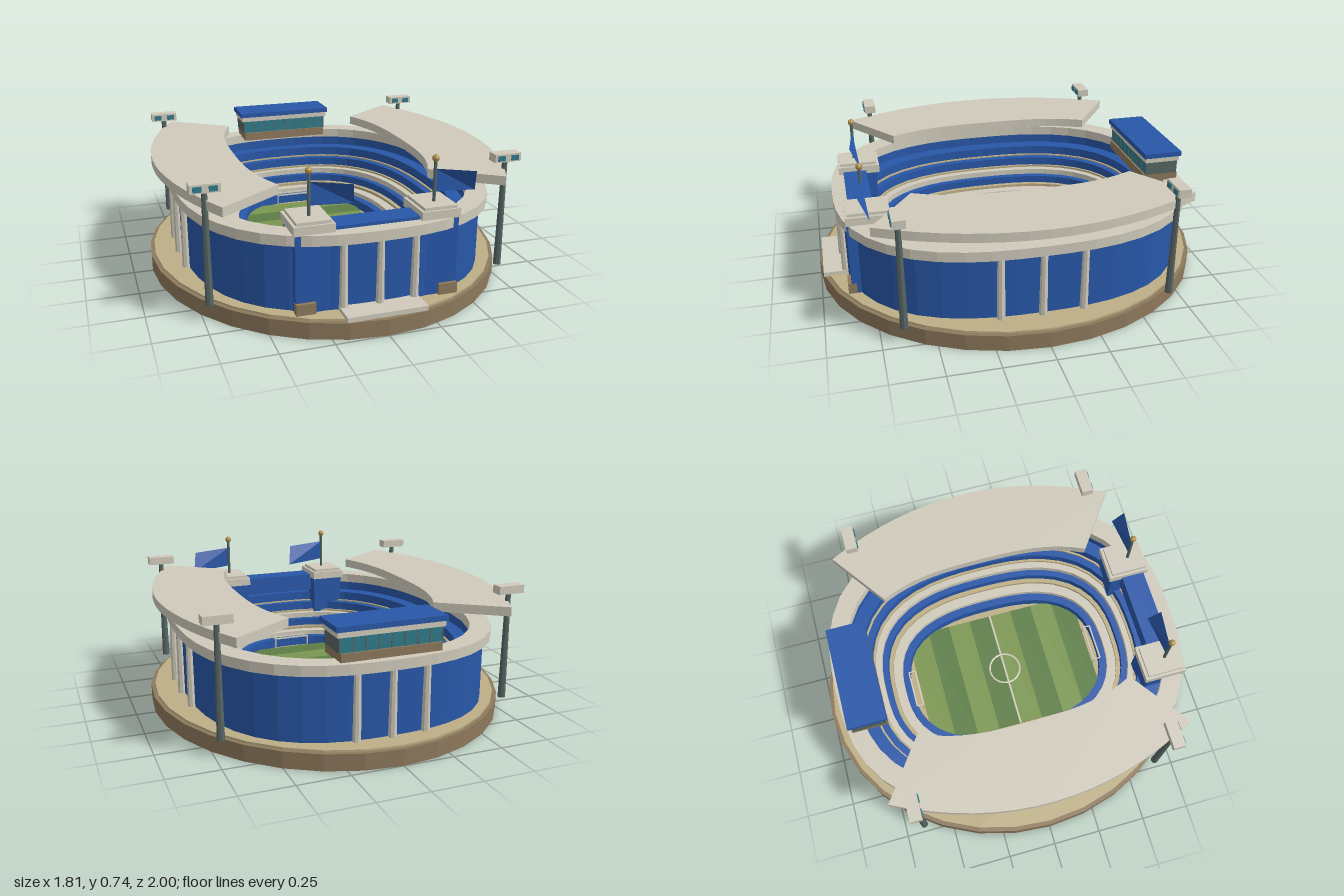
import * as THREE from 'three';

const mat = (color, side = THREE.FrontSide) => new THREE.MeshStandardMaterial({ color, flatShading: true, side });
const BLUE = mat(0x2857a8), GREY = mat(0xcfcabb), BROWN = mat(0x8d785c), TAN = mat(0xbcae86);
const TEAL = mat(0x2f7a8a), SLATE = mat(0x566664), GOLD = mat(0xb0904f);
const LIGHT = mat(0x7a9650), DARK = mat(0x5c7d45), FLAG = mat(0x2857a8, THREE.DoubleSide);

// Rounded oval outline (superellipse)
function oval(rx, rz, n = 2.6, segments = 48) {
  const pts = [];
  for (let i = 0; i < segments; i++) {
    const a = (i / segments) * Math.PI * 2, c = Math.cos(a), s = Math.sin(a);
    const r = Math.pow(Math.pow(Math.abs(c), n) + Math.pow(Math.abs(s), n), -1 / n);
    pts.push(new THREE.Vector2(rx * r * c, rz * r * s));
  }
  return pts;
}

// Upright solid from a ground plan
function slab(points, y0, y1, hole) {
  const shape = new THREE.Shape(points);
  if (hole) shape.holes.push(new THREE.Path(hole));
  const g = new THREE.ExtrudeGeometry(shape, { depth: y1 - y0, bevelEnabled: false });
  return g.rotateX(-Math.PI / 2).translate(0, y0, 0);
}

// Half width of the bowl for a given half length
const bowlX = z => 0.37 + (z - 0.53) / 0.375 * 0.415;

export function createModel() {
  const root = new THREE.Group();
  const add = (name, geometry, material, parent = root) => {
    const m = new THREE.Mesh(geometry, material);
    m.name = name;
    parent.add(m);
    return m;
  };
  const box = (name, material, x0, x1, y0, y1, z0, z1, parent) =>
    add(name, new THREE.BoxGeometry(x1 - x0, y1 - y0, z1 - z0)
      .translate((x0 + x1) / 2, (y0 + y1) / 2, (z0 + z1) / 2), material, parent);
  const rod = (name, material, x, z, y0, y1, rBottom, rTop, sides, parent) =>
    add(name, new THREE.CylinderGeometry(rTop, rBottom, y1 - y0, sides)
      .translate(x, (y0 + y1) / 2, z), material, parent);
  const group = name => {
    const g = new THREE.Group();
    g.name = name;
    root.add(g);
    return g;
  };

  // Ground plinth
  add('plinth', slab(oval(0.905, 1, 2, 32), 0, 0.08), BROWN);
  add('plaza', slab(oval(0.885, 0.98, 2, 32), 0.08, 0.09), TAN);
  box('frontSteps', GREY, -0.19, 0.19, 0.085, 0.108, 0.86, 0.985);

  // Pitch with mown stripes and markings
  const pitch = group('pitch');
  for (let i = 0; i < 8; i++) {
    const z = -0.488 + i * 0.122;
    box('pitchStripe', i % 2 ? DARK : LIGHT, -0.33, 0.33, 0.085, 0.1, z, z + 0.122, pitch);
  }
  box('halfwayLine', GREY, -0.33, 0.33, 0.098, 0.103, -0.005, 0.005, pitch);
  add('centreCircle', new THREE.TorusGeometry(0.085, 0.005, 4, 20)
    .rotateX(Math.PI / 2).scale(1, 0.5, 1).translate(0, 0.101, 0), GREY, pitch);

  // Goals
  for (const s of [-1, 1]) {
    const goal = group('goal');
    for (const x of [-0.1, 0.1]) {
      rod('goalPost', GREY, x, s * 0.492, 0.09, 0.155, 0.004, 0.004, 6, goal);
      box('goalSide', GREY, x - 0.003, x + 0.003, 0.15, 0.156, s * 0.51 - 0.018, s * 0.51 + 0.018, goal);
    }
    for (const z of [0.492, 0.528])
      box('crossbar', GREY, -0.1, 0.1, 0.15, 0.157, s * z - 0.004, s * z + 0.004, goal);
  }

  // Stepped seating bowl: inner and outer half length, top height
  const stands = group('stands');
  [
    ['seatRow', BLUE, 0.53, 0.568, 0.14],
    ['walkway', GREY, 0.568, 0.615, 0.165],
    ['step', TAN, 0.615, 0.637, 0.18],
    ['seatRow', BLUE, 0.637, 0.668, 0.22],
    ['walkway', GREY, 0.668, 0.7, 0.25],
    ['step', TAN, 0.7, 0.712, 0.26],
    ['seatRow', BLUE, 0.712, 0.745, 0.305],
    ['step', TAN, 0.745, 0.755, 0.312],
    ['seatRow', BLUE, 0.755, 0.82, 0.36],
  ].forEach(([name, material, z0, z1, top]) =>
    add(name, slab(oval(bowlX(z1), z1), 0.085, top, oval(bowlX(z0), z0)), material, stands));

  // Outer wall and rim
  add('outerWall', slab(oval(0.752, 0.872), 0.09, 0.41, oval(bowlX(0.82), 0.82)), BLUE);
  add('rim', slab(oval(0.785, 0.905), 0.41, 0.46, oval(bowlX(0.815), 0.815)), GREY);

  // Columns on all four sides
  for (const s of [-1, 1]) for (const i of [-1, 0, 1]) {
    rod('endColumn', GREY, i * 0.17, s * (0.88 - Math.abs(i) * 0.008), 0.09, 0.415, 0.021, 0.017, 8);
    rod('sideColumn', GREY, s * (0.762 - Math.abs(i) * 0.006), i * 0.2, 0.09, 0.415, 0.021, 0.017, 8);
  }

  // Side roofs
  for (const s of [-1, 1]) {
    const pts = [];
    for (let i = -8; i <= 8; i++) {
      const t = i / 8;
      pts.push(new THREE.Vector2(s * (0.867 - 0.197 * t * t), 0.76 * t));
    }
    for (let i = 8; i >= -8; i--) {
      const t = i / 8;
      pts.push(new THREE.Vector2(s * (0.46 - 0.09 * Math.pow(Math.abs(t), 3)), 0.545 * t));
    }
    add('sideRoof', slab(pts, 0.545, 0.59), GREY);
  }

  // Floodlights
  for (const x of [-0.725, 0.725]) for (const z of [-0.645, 0.645]) {
    const light = group('floodlight');
    rod('mast', SLATE, x, z, 0.09, 0.635, 0.019, 0.013, 8, light);
    box('lampHead', GREY, x - 0.068, x + 0.068, 0.63, 0.67, z - 0.03, z + 0.03, light);
    for (const d of [-0.035, 0.035])
      box('lamp', TEAL, x + d - 0.019, x + d + 0.019, 0.637, 0.662, z + 0.02, z + 0.035, light);
  }

  // Press box on the back rim
  const press = group('pressBox');
  box('pressBase', BROWN, -0.245, 0.245, 0.455, 0.5, -0.865, -0.68, press);
  box('pressGlass', TEAL, -0.25, 0.25, 0.5, 0.57, -0.855, -0.69, press);
  box('pressFascia', GREY, -0.26, 0.26, 0.57, 0.597, -0.862, -0.68, press);
  box('pressRoof', BLUE, -0.268, 0.268, 0.597, 0.622, -0.87, -0.672, press);
  for (let i = 0; i <= 8; i++) {
    const x = -0.248 + i * 0.062;
    box('mullion', SLATE, x - 0.003, x + 0.003, 0.5, 0.57, -0.858, -0.687, press);
  }

  // Front gate with twin towers
  box('gateRoof', BLUE, -0.21, 0.21, 0.38, 0.475, 0.715, 0.835);
  for (const s of [-1, 1]) {
    const tower = group('gateTower'), x = s * 0.297;
    box('towerBody', BLUE, x - 0.087, x + 0.087, 0.09, 0.46, 0.66, 0.855, tower);
    box('towerCap', GREY, x - 0.094, x + 0.094, 0.458, 0.5, 0.645, 0.858, tower);
    box('towerTop', GREY, x - 0.08, x + 0.08, 0.5, 0.515, 0.66, 0.848, tower);
    box('towerFoot', BROWN, s * 0.34 - 0.046, s * 0.34 + 0.046, 0.09, 0.143, 0.83, 0.872, tower);
    rod('flagPole', SLATE, x, 0.77, 0.51, 0.71, 0.008, 0.008, 8, tower);
    add('poleBall', new THREE.SphereGeometry(0.017, 10, 8).translate(x, 0.718, 0.77), GOLD, tower);
    // Twisted pennant flying to +x
    const flag = new THREE.BufferGeometry();
    flag.setAttribute('position', new THREE.Float32BufferAttribute([
      x, 0.668, 0.77, x, 0.56, 0.77, x + 0.217, 0.54, 0.75, x + 0.195, 0.645, 0.797], 3));
    flag.setIndex([0, 1, 2, 0, 2, 3]);
    flag.computeVertexNormals();
    add('flag', flag, FLAG, tower);
  }
  return root;
}
